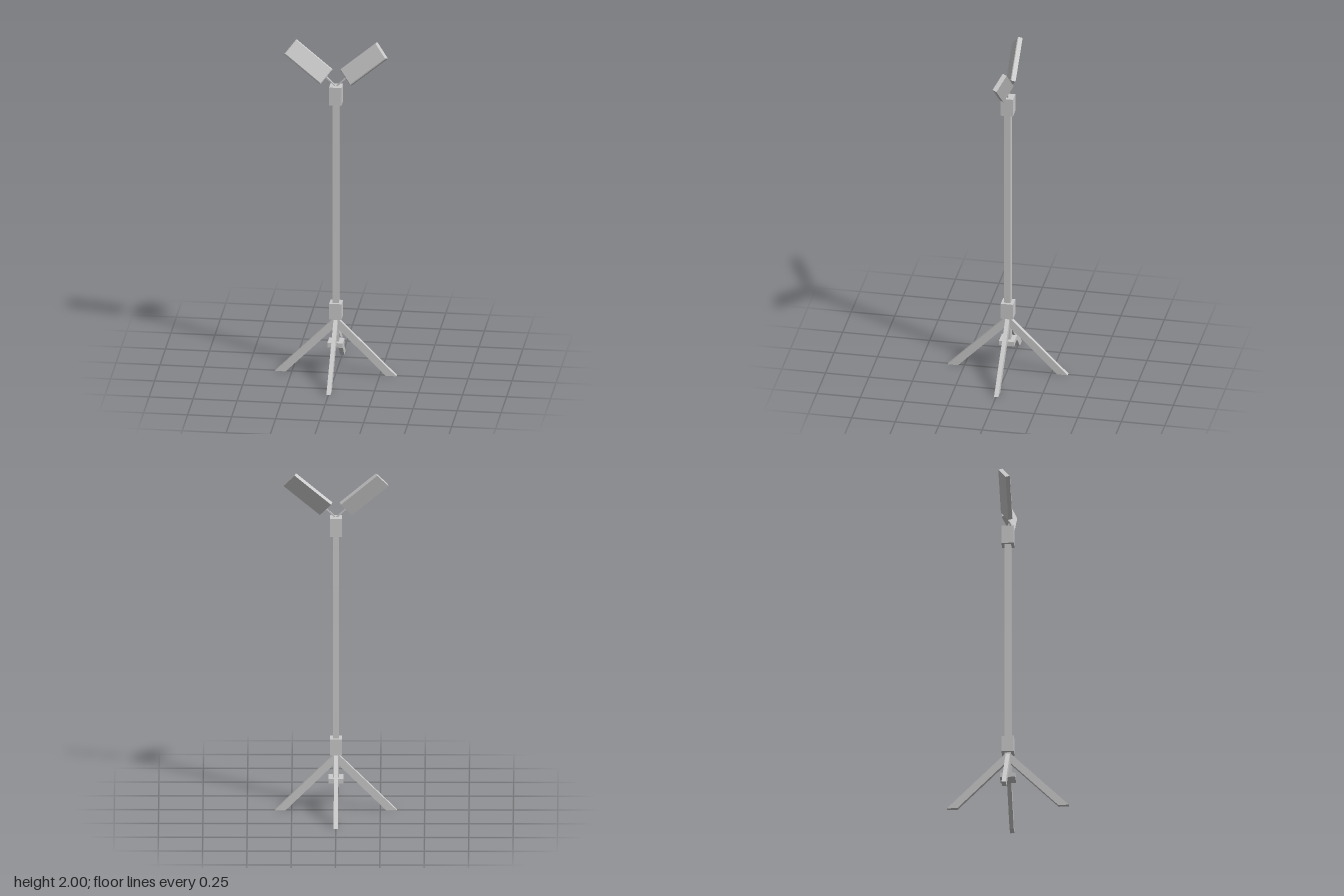
import * as THREE from 'three';

const material = new THREE.MeshStandardMaterial({ color: 0xcccccc, flatShading: true });

function add(parent, name, geometry, x = 0, y = 0, z = 0) {
  const mesh = new THREE.Mesh(geometry, material);
  mesh.name = name;
  mesh.position.set(x, y, z);
  parent.add(mesh);
  return mesh;
}

// Square upright piece spanning y0..y1
function post(parent, name, width, y0, y1) {
  return add(parent, name, new THREE.BoxGeometry(width, y1 - y0, width), 0, (y0 + y1) / 2, 0);
}

// Lamp slab whose front face is drawn in slightly, giving a shallow bevel
function lampGeometry(length, height, depth, bevel) {
  const g = new THREE.BoxGeometry(length, height, depth, 1, 1, 2);
  const p = g.attributes.position;
  for (let i = 0; i < p.count; i++) {
    const z = p.getZ(i);
    if (z > depth / 4) {
      p.setX(i, p.getX(i) - Math.sign(p.getX(i)) * bevel);
      p.setY(i, p.getY(i) - Math.sign(p.getY(i)) * bevel);
    } else if (z > -depth / 4) {
      p.setZ(i, depth / 2 - 0.004);
    }
  }
  g.computeVertexNormals();
  return g;
}

export function createModel() {
  const model = new THREE.Group();
  model.name = 'floodlightStand';

  // Mast with its collars and the pad at its lower end
  post(model, 'mast', 0.036, 0.18, 1.72);
  post(model, 'upperCollar', 0.07, 1.63, 1.738);
  post(model, 'lowerCollar', 0.07, 0.335, 0.43);
  post(model, 'mastPad', 0.087, 0.17, 0.197);

  // Four splayed legs, cut level at the floor
  const legShape = new THREE.Shape([
    new THREE.Vector2(0.285, 0), new THREE.Vector2(0.345, 0),
    new THREE.Vector2(0, 0.345), new THREE.Vector2(0, 0.285),
  ]);
  const legGeometry = new THREE.ExtrudeGeometry(legShape, { depth: 0.024, bevelEnabled: false });
  legGeometry.translate(0, 0, -0.012);
  for (let i = 0; i < 4; i++) {
    add(model, 'leg', legGeometry).rotation.y = i * Math.PI / 2;
  }

  // Two lamps on thin arms, leaning outward and tilted up
  const lamp = lampGeometry(0.268, 0.109, 0.029, 0.005);
  const roll = THREE.MathUtils.degToRad(40);
  const tilt = THREE.MathUtils.degToRad(-25);
  for (const side of [1, -1]) {
    const head = new THREE.Group();
    head.name = side > 0 ? 'leftLamp' : 'rightLamp';
    head.position.set(side * 0.158, 1.875, -0.002);
    head.rotation.z = side * roll;
    add(head, 'lampHousing', lamp).rotation.x = tilt;
    model.add(head);

    const start = new THREE.Vector3(side * -0.004, 1.728, 0);
    const end = new THREE.Vector3(side * 0.068, 1.8, 0);
    const middle = start.clone().lerp(end, 0.5);
    const arm = add(model, 'lampArm',
      new THREE.BoxGeometry(0.008, start.distanceTo(end), 0.008), middle.x, middle.y, middle.z);
    arm.rotation.z = -side * Math.PI / 4;
  }
  return model;
}
